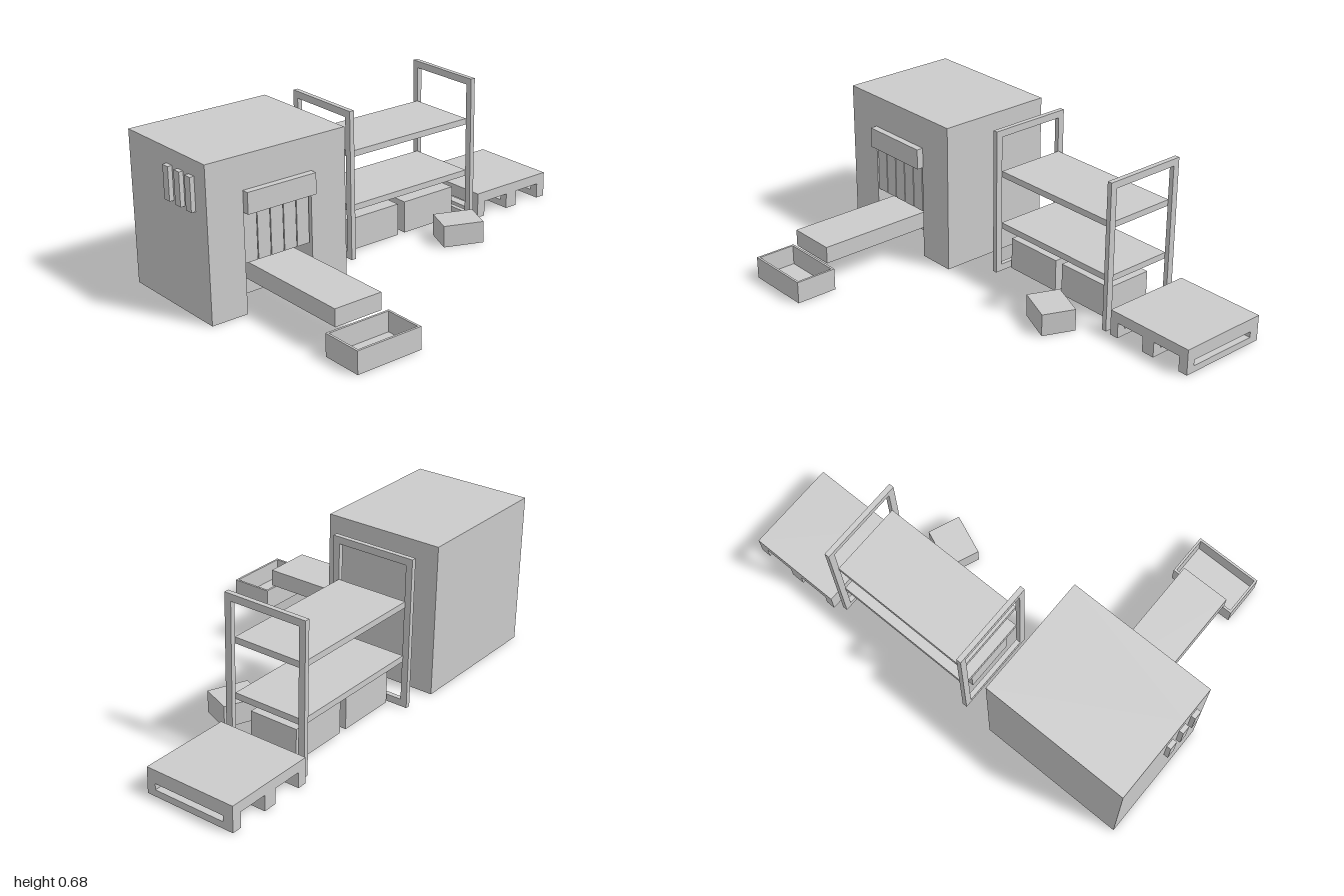
import * as THREE from 'three';

const material = new THREE.MeshStandardMaterial({ color: 0xcccccc, flatShading: true });

function add(parent, name, geometry) {
  const mesh = new THREE.Mesh(geometry, material);
  mesh.name = name;
  parent.add(mesh);
  return mesh;
}

// Box given by its limits on each axis
function box(parent, name, [x0, x1], [y0, y1], [z0, z1]) {
  const mesh = add(parent, name, new THREE.BoxGeometry(x1 - x0, y1 - y0, z1 - z0));
  mesh.position.set((x0 + x1) / 2, (y0 + y1) / 2, (z0 + z1) / 2);
  return mesh;
}

function rectPoints([u0, u1], [v0, v1]) {
  return [[u0, v0], [u1, v0], [u1, v1], [u0, v1]].map(([u, v]) => new THREE.Vector2(u, v));
}

// Upright plate facing sideways, with a rectangular hole
function holedPlate(parent, name, [x0, x1], [y0, y1], [z0, z1], holeY, holeZ) {
  const shape = new THREE.Shape(rectPoints([-z1, -z0], [y0, y1]));
  shape.holes.push(new THREE.Path(rectPoints([-holeZ[1], -holeZ[0]], holeY).reverse()));
  const geometry = new THREE.ExtrudeGeometry(shape, { depth: x1 - x0, bevelEnabled: false });
  geometry.rotateY(Math.PI / 2);
  const mesh = add(parent, name, geometry);
  mesh.position.x = x0;
  return mesh;
}

function group(parent, name) {
  const g = new THREE.Group();
  g.name = name;
  parent.add(g);
  return g;
}

function buildMachine(root) {
  const g = group(root, 'machine');
  const [left, right, top] = [-0.98, -0.305, 0.68];

  // Housing with a recess in the lower front
  box(g, 'housingBack', [left, right], [0, top], [-0.61, -0.225]);
  const arch = new THREE.Shape([
    [left, 0], [-0.81, 0], [-0.81, 0.45], [-0.48, 0.45], [-0.48, 0], [right, 0], [right, top], [left, top],
  ].map(([x, y]) => new THREE.Vector2(x, y)));
  const front = add(g, 'housingFront', new THREE.ExtrudeGeometry(arch, { depth: 0.163, bevelEnabled: false }));
  front.position.z = -0.225;

  // Curtain over the opening
  box(g, 'curtainHeader', [-0.81, -0.476], [0.44, 0.533], [-0.062, -0.031]);
  for (let i = 0; i < 5; i++) {
    const x = -0.807 + i * 0.064;
    box(g, 'curtainStrip', [x, x + 0.06], [0.22, 0.449], [-0.075, -0.067]);
  }

  // Side vents
  for (const z of [-0.312, -0.233, -0.157]) {
    box(g, 'ventFin', [-1, left], [0.465, 0.612], [z - 0.019, z + 0.019]);
  }

  box(g, 'conveyor', [-0.755, -0.528], [0.113, 0.19], [-0.225, 0.437]);
}

// Open-topped catch bin
function buildBin(root) {
  const g = group(root, 'bin');
  const [x0, x1, z0, z1, h, t] = [-0.797, -0.486, 0.43, 0.623, 0.1, 0.01];
  box(g, 'binFloor', [x0, x1], [0, t], [z0, z1]);
  for (const z of [z0, z1 - t]) box(g, 'binLongWall', [x0, x1], [t, h], [z, z + t]);
  for (const x of [x0, x1 - t]) box(g, 'binEndWall', [x, x + t], [t, h], [z0 + t, z1 - t]);
}

function buildRack(root) {
  const g = group(root, 'rack');
  for (const x of [-0.165, 0.523]) {
    holedPlate(g, 'rackFrame', [x, x + 0.022], [0, 0.677], [-0.595, -0.203], [0.032, 0.645], [-0.565, -0.234]);
  }
  for (const y of [0.21, 0.457]) {
    box(g, 'shelf', [-0.143, 0.523], [y, y + 0.028], [-0.568, -0.234]);
  }
  for (const x of [-0.125, 0.198]) {
    box(g, 'storedBox', [x, x + 0.284], [0.005, 0.153], [-0.506, -0.278]);
  }
}

function buildPallet(root) {
  const g = group(root, 'pallet');
  const depth = [-0.623, -0.2];
  box(g, 'palletDeck', [0.573, 1], [0.07, 0.117], depth);
  for (const limits of [[0.573, 0.615], [0.755, 0.817], [0.955, 1]]) {
    holedPlate(g, 'palletRunner', limits, [0, 0.07], depth, [0.03, 0.057], [-0.577, -0.24]);
  }
}

export function createModel() {
  const root = new THREE.Group();
  root.name = 'packingStation';
  buildMachine(root);
  buildBin(root);
  buildRack(root);
  buildPallet(root);

  // Parcel lying askew on the floor
  const parcel = add(root, 'looseParcel', new THREE.BoxGeometry(0.185, 0.1, 0.15));
  parcel.position.set(0.342, 0.05, -0.08);
  parcel.rotation.y = -0.39;
  return root;
}
